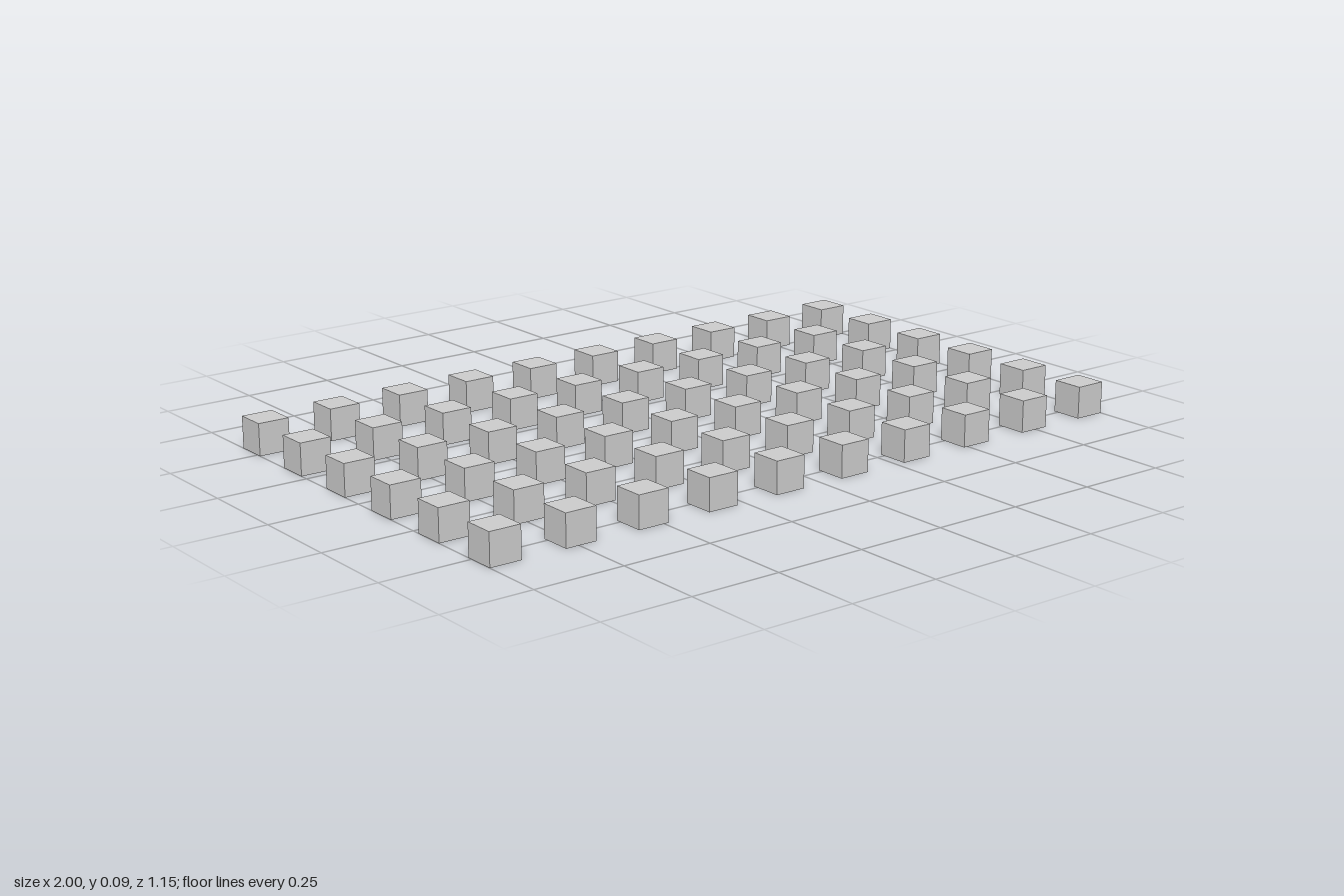
import * as THREE from 'three';

const COLUMNS = 10;
const ROWS = 6;
const SIZE = 0.088;
const PITCH = (2 - SIZE) / (COLUMNS - 1);

export function createModel() {
  const model = new THREE.Group();
  model.name = 'cubeGrid';
  const geometry = new THREE.BoxGeometry(SIZE, SIZE, SIZE);
  const material = new THREE.MeshStandardMaterial({ color: 0xcccccc, flatShading: true });

  // Evenly spaced cubes, row by row from back to front
  for (let r = 0; r < ROWS; r++) {
    const row = new THREE.Group();
    row.name = `row${r + 1}`;
    row.position.z = (r - (ROWS - 1) / 2) * PITCH;
    for (let c = 0; c < COLUMNS; c++) {
      const cube = new THREE.Mesh(geometry, material);
      cube.name = `cube${c + 1}`;
      cube.position.set((c - (COLUMNS - 1) / 2) * PITCH, SIZE / 2, 0);
      row.add(cube);
    }
    model.add(row);
  }
  return model;
}
